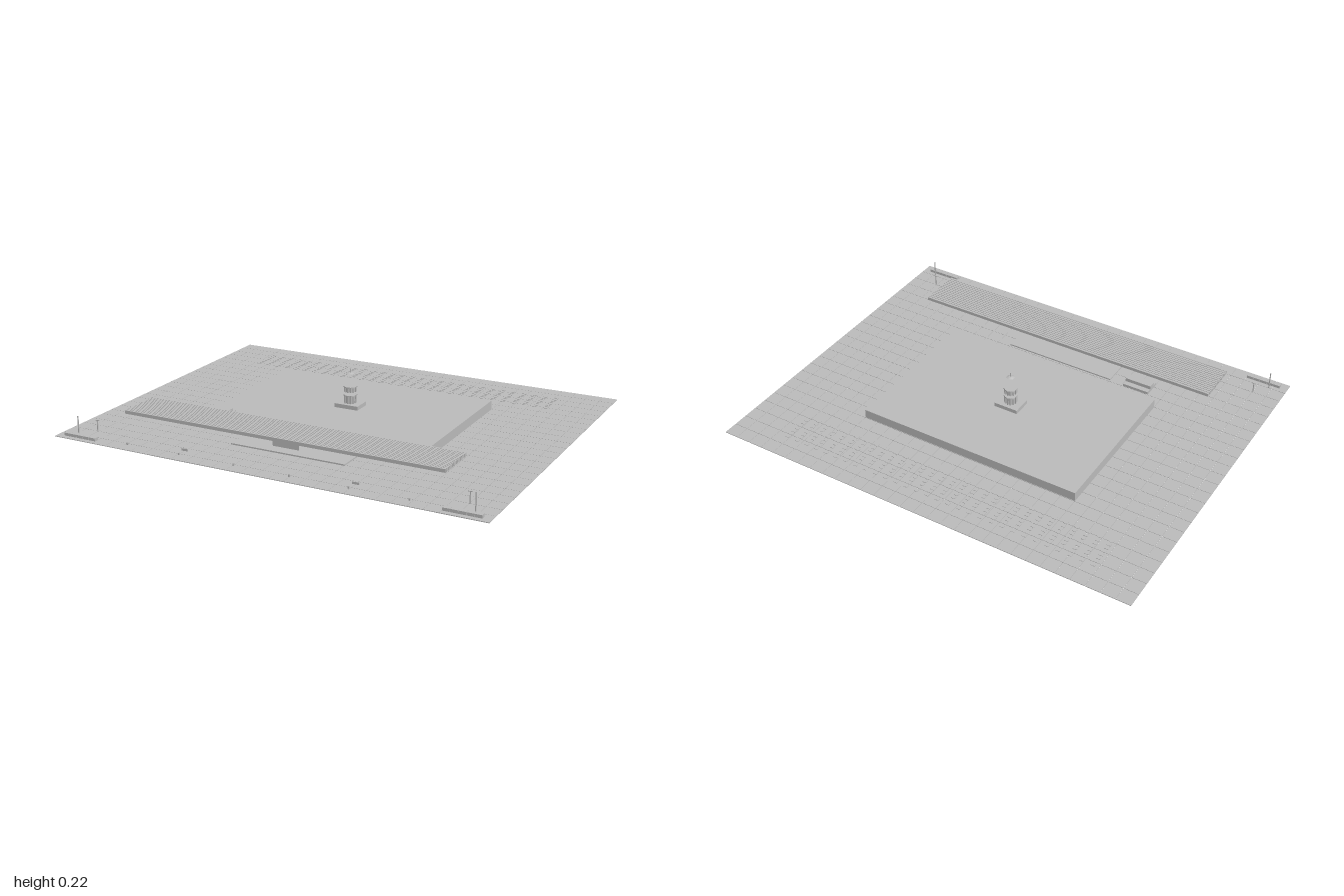
import * as THREE from 'three';
import { mergeGeometries } from 'three/addons/utils/BufferGeometryUtils.js';

export function createModel() {
  const model = new THREE.Group();
  const grey = new THREE.MeshStandardMaterial({ color: 0xbbbbbb });
  grey.name = 'plain grey';

  // Box given by its centre in x and z and its bottom height
  const box = (w, h, d, x, y, z) => new THREE.BoxGeometry(w, h, d).translate(x, y + h / 2, z);
  const add = (name, ...parts) => {
    const mesh = new THREE.Mesh(parts.length > 1 ? mergeGeometries(parts) : parts[0], grey);
    mesh.name = name;
    model.add(mesh);
  };

  // Paving: square tiles with hairline joints
  const tiles = [];
  const pitch = 1 / 15;
  for (let i = 0; i < 30; i++) {
    for (let j = 0; j < 24; j++) {
      tiles.push(box(pitch - 0.0015, 0.003, pitch - 0.0015,
        -1 + (i + 0.5) * pitch, 0, -0.8 + (j + 0.5) * pitch));
    }
  }
  add('pavingTiles', ...tiles);

  // Main slab and the low step before it
  add('mainSlab', box(1.066, 0.045, 0.733, 0, 0, -0.031));
  add('frontStep', box(0.54, 0.009, 0.13, 0, 0, 0.475));

  // Slatted canopy
  const slats = [];
  for (let i = 0; i < 16; i++) {
    slats.push(box(1.5, 0.015, 0.0105, 0, 0.091, 0.4265 + i * 0.0131));
  }
  add('canopySlats', ...slats);

  // Raised unit behind the canopy
  add('raisedUnit',
    box(0.124, 0.012, 0.085, -0.437, 0.064, 0.372),
    box(0.124, 0.016, 0.035, -0.437, 0.076, 0.372));

  // Sign plate under the canopy
  add('signPlate', box(0.124, 0.035, 0.003, 0, 0.035, 0.545));

  // Roof turret: base, two ribbed hexagonal rings, cap with finial
  const tz = -0.031;
  add('turretBase', box(0.115, 0.018, 0.088, 0, 0.045, tz));
  for (const [name, y, h] of [['lowerTurretRing', 0.063, 0.038], ['upperTurretRing', 0.115, 0.025]]) {
    const parts = [
      new THREE.CylinderGeometry(0.026, 0.026, h, 6).translate(0, y + h / 2, tz),
      new THREE.CylinderGeometry(0.031, 0.031, 0.005, 6).translate(0, y + h - 0.0025, tz),
    ];
    for (let i = 0; i < 12; i++) {
      const a = (i / 12) * Math.PI * 2;
      parts.push(box(0.005, h, 0.005, Math.cos(a) * 0.026, y, tz + Math.sin(a) * 0.026));
    }
    add(name, ...parts);
  }
  add('turretCap',
    new THREE.CylinderGeometry(0.008, 0.02, 0.005, 6).translate(0, 0.201, tz),
    new THREE.CylinderGeometry(0.002, 0.002, 0.02, 6).translate(0, 0.212, tz));

  // Rows of small ground blocks along the back
  const blocks = [];
  for (let i = 0; i < 30; i++) {
    for (let j = 0; j < 8; j++) {
      blocks.push(box(0.018, 0.003, 0.015, -0.775 + i * 0.0524, 0.002, -0.682 + j * 0.0218));
    }
  }
  add('backGroundBlocks', ...blocks);

  // Front corner walls, posts and bars, mirrored left and right
  for (const side of [1, -1]) {
    const label = side > 0 ? 'left' : 'right';
    const wall = [];
    for (let i = 0; i < 5; i++) {
      wall.push(box(0.031, 0.013, 0.022, side * (0.818 + i * 0.0325), 0.003, 0.766));
    }
    add(label + 'CornerWall', ...wall);
    add(label + 'TallPost', box(0.004, 0.085, 0.004, side * 0.92, 0, 0.735));
    add(label + 'ShortPost',
      box(0.004, 0.055, 0.004, side * 0.87, 0, 0.668),
      box(0.02, 0.003, 0.003, side * 0.87, 0.052, 0.668));
    add(label + 'GroundBar', box(0.03, 0.01, 0.004, side * 0.4, 0.003, 0.695));
    add(label + 'GroundLights', ...[0.13, 0.395, 0.655].map(x =>
      box(0.006, 0.01, 0.006, side * x, 0.003, 0.745)));
  }

  return model;
}
